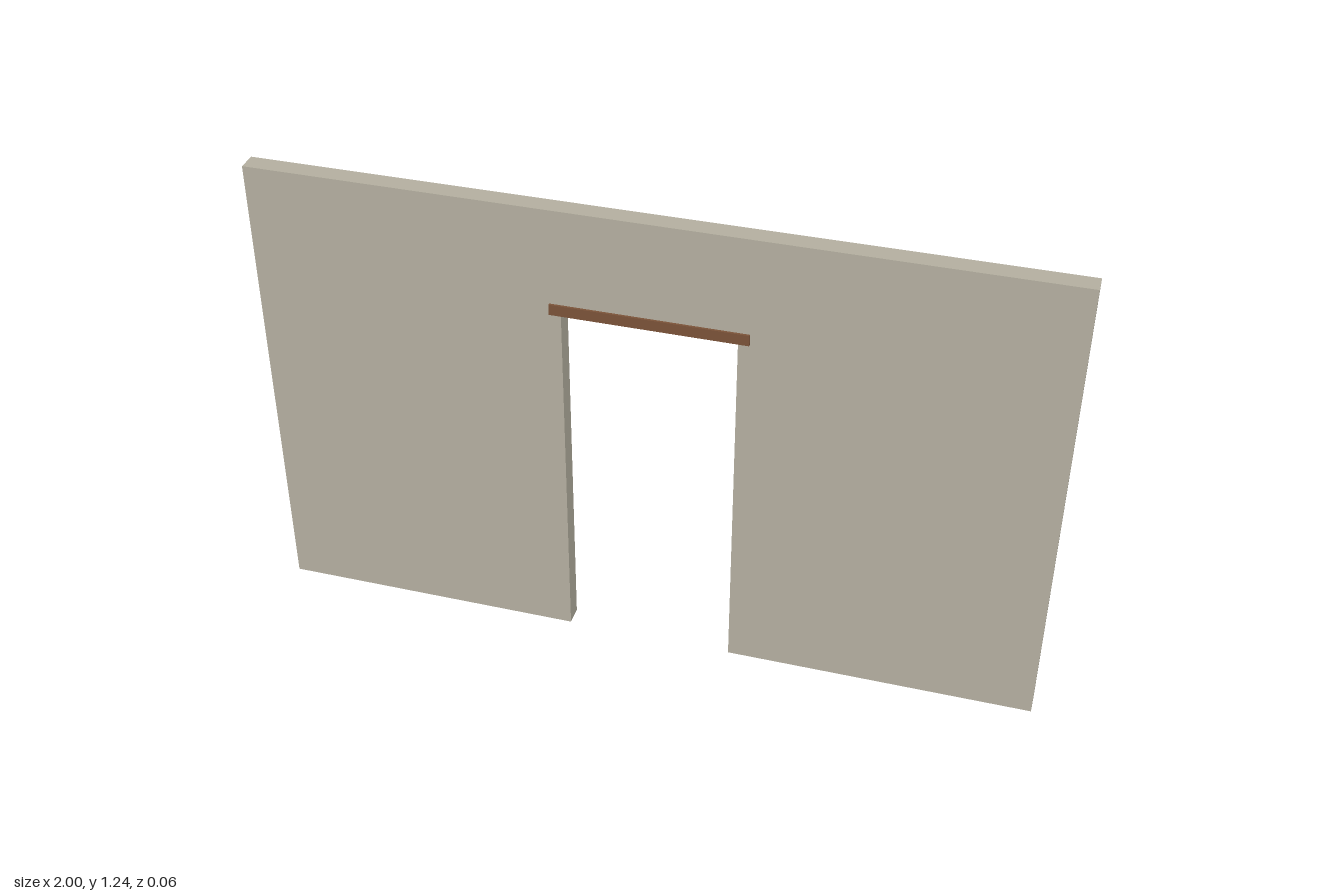
import * as THREE from 'three';

export function createModel() {
  const group = new THREE.Group();
  const halfWidth = 1, height = 1.24, depth = 0.05;
  const halfDoor = 0.215, doorHeight = 0.958;

  // Wall with a doorway open to the floor
  const outline = new THREE.Shape([
    [-halfWidth, 0], [-halfDoor, 0], [-halfDoor, doorHeight], [halfDoor, doorHeight],
    [halfDoor, 0], [halfWidth, 0], [halfWidth, height], [-halfWidth, height],
  ].map(([x, y]) => new THREE.Vector2(x, y)));
  const wallGeometry = new THREE.ExtrudeGeometry(outline, { depth, bevelEnabled: false });
  wallGeometry.translate(0, 0, -depth / 2);
  const wall = new THREE.Mesh(wallGeometry, new THREE.MeshStandardMaterial({ color: 0xb3ae9f }));
  wall.name = 'wall';
  group.add(wall);

  // Timber lintel, standing slightly proud of both wall faces
  const lintel = new THREE.Mesh(
    new THREE.BoxGeometry(0.486, 0.028, 0.062),
    new THREE.MeshStandardMaterial({ color: 0x7a5238 }),
  );
  lintel.name = 'lintel';
  lintel.position.y = 0.976;
  group.add(lintel);

  return group;
}
